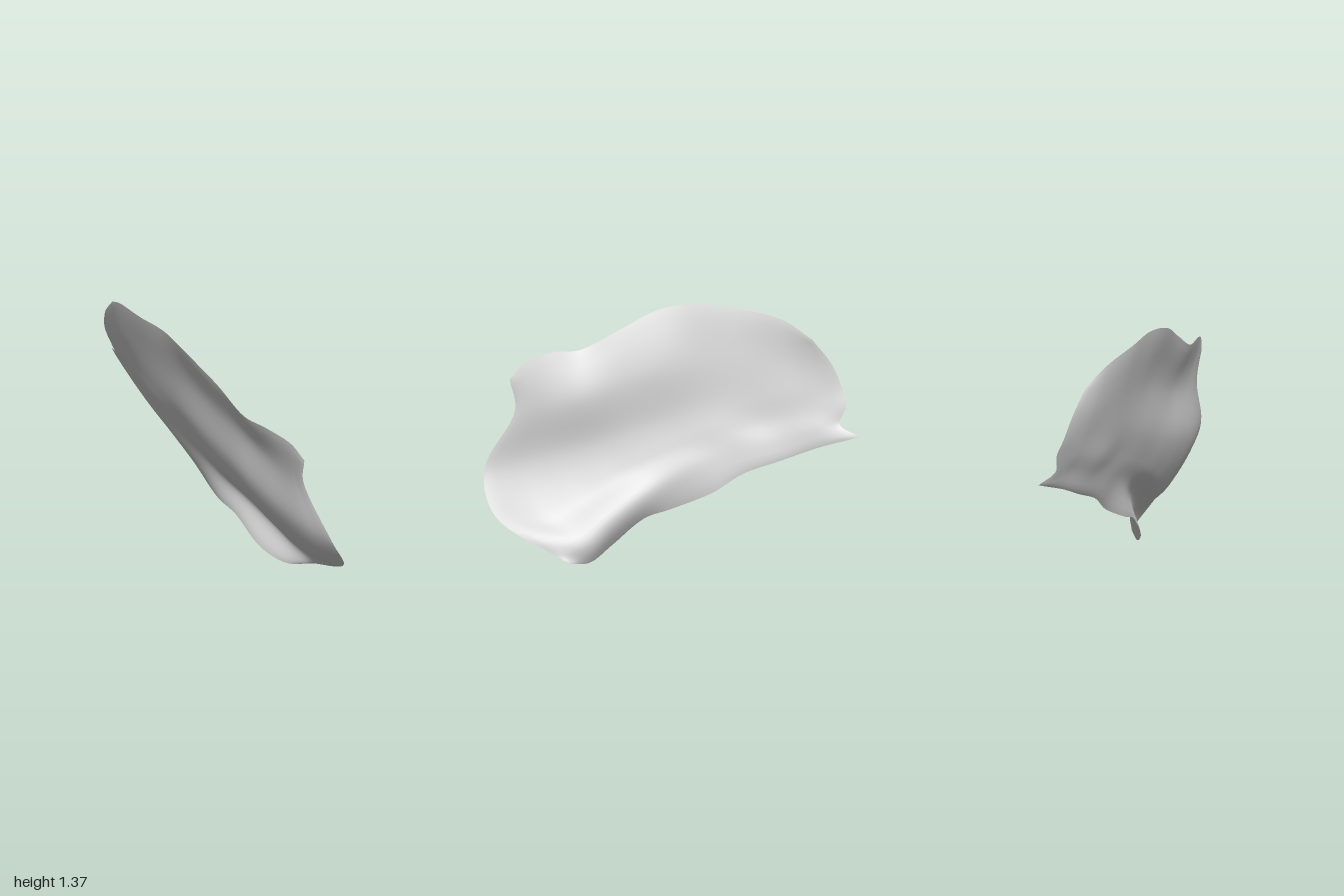
import * as THREE from 'three';

// Guide lines running from the back edge to the front edge, lowest first: [x, y, z]
const lowerRim = [[-.31, .65, -1], [-.27, .58, -.76], [-.22, .51, -.57], [-.16, .44, -.37], [-.09, .34, -.21],
  [-.03, .245, .02], [.03, .205, .15], [.12, .07, .31], [.24, 0, .41], [.37, .03, .5]];
const ridge = [[-.33, .71, -.88], [-.295, .68, -.74], [-.245, .61, -.53], [-.178, .56, -.31], [-.105, .5, -.14],
  [-.015, .41, .035], [.083, .33, .17], [.195, .22, .315], [.288, .12, .425], [.373, .075, .58]];
const groove = [[-.365, .81, -.91], [-.325, .77, -.68], [-.275, .71, -.46], [-.187, .67, -.22], [-.11, .6, -.02],
  [-.022, .52, .18], [.053, .44, .33], [.15, .34, .5], [.262, .255, .67], [.405, .29, .915]];
const middle = [[-.39, .9, -.88], [-.35, .87, -.65], [-.298, .84, -.42], [-.215, .81, -.17], [-.133, .75, .05],
  [-.052, .69, .25], [.018, .63, .43], [.095, .58, .62], [.19, .54, .82], [.305, .525, .998]];
const bulge = [[-.404, 1.03, -.82], [-.388, 1.04, -.61], [-.335, 1.05, -.38], [-.248, 1.06, -.13], [-.149, 1.03, .09],
  [-.052, .96, .3], [.036, .9, .48], [.095, .87, .62], [.145, .855, .74], [.192, .845, .848]];
const upperRim = [[-.4, 1.17, -.71], [-.41, 1.27, -.54], [-.375, 1.33, -.3], [-.31, 1.365, -.08], [-.25, 1.34, .12],
  [-.14, 1.24, .33], [-.05, 1.14, .53], [.03, 1.14, .68], [.13, 1.1, .815], [.185, 1.02, .88]];

const COLS = 72, ROWS = 40, HALF_THICKNESS = 0.008;

// Grid of points lofted across the guide lines
function loftPoints() {
  const guides = [lowerRim, ridge, groove, middle, bulge, upperRim]
    .map(line => new THREE.CatmullRomCurve3(line.map(p => new THREE.Vector3(...p))));
  const points = [];
  for (let i = 0; i <= COLS; i++) {
    const section = new THREE.CatmullRomCurve3(guides.map(g => g.getPoint(i / COLS)));
    for (let j = 0; j <= ROWS; j++) points.push(section.getPoint(j / ROWS));
  }
  return points;
}

// Smooth skin over the grid, facing +x or, when flipped, -x
function skin(points, flip) {
  const index = [];
  for (let i = 0; i < COLS; i++) {
    for (let j = 0; j < ROWS; j++) {
      const a = i * (ROWS + 1) + j, b = a + 1, c = a + ROWS + 1, d = c + 1;
      index.push(...(flip ? [a, c, b, b, c, d] : [a, b, c, b, d, c]));
    }
  }
  const geometry = new THREE.BufferGeometry().setFromPoints(points);
  geometry.setIndex(index);
  geometry.computeVertexNormals();
  return geometry;
}

export function createModel() {
  const group = new THREE.Group();
  group.name = 'curvedShell';
  const grey = new THREE.MeshStandardMaterial({ color: 0xcecece });
  grey.name = 'plain grey';

  const points = loftPoints();
  const normals = skin(points, false).attributes.normal;

  // Outer and inner skins swell apart and meet in a thin rim
  for (const side of [1, -1]) {
    const swollen = points.map((p, k) => {
      const u = Math.floor(k / (ROWS + 1)) / COLS, v = (k % (ROWS + 1)) / ROWS;
      const edge = Math.min(1, 12 * Math.min(u, 1 - u, v, 1 - v));
      const n = new THREE.Vector3().fromBufferAttribute(normals, k);
      return p.clone().addScaledVector(n, side * HALF_THICKNESS * Math.sqrt(edge));
    });
    const mesh = new THREE.Mesh(skin(swollen, side < 0), grey);
    mesh.name = side > 0 ? 'outerSkin' : 'innerSkin';
    group.add(mesh);
  }
  return group;
}
